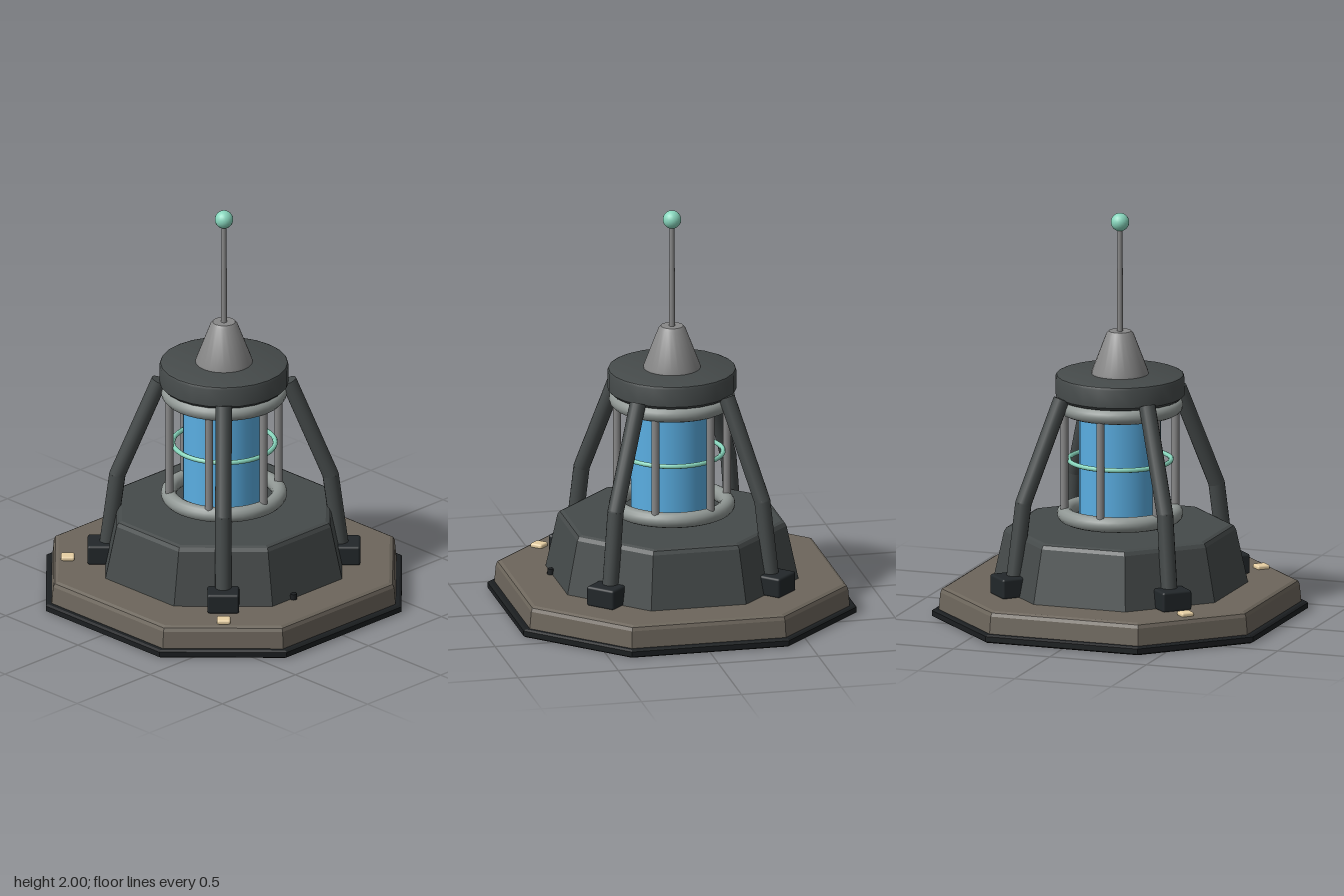
import * as THREE from 'three';
import { RoundedBoxGeometry } from 'three/addons/geometries/RoundedBoxGeometry.js';
import { toCreasedNormals } from 'three/addons/utils/BufferGeometryUtils.js';

const paint = (color) => new THREE.MeshStandardMaterial({ color });
const MAT = {
  rubber: paint(0x1b1e20), plinth: paint(0x6d665c), housing: paint(0x454a4a), foot: paint(0x22272a),
  glass: paint(0x5aaee2), ring: paint(0x8f9693), metal: paint(0x888888), teal: paint(0x88d6bd), lamp: paint(0xe8d0a4),
};

// Octagonal stack: each level is [y, half width, half length of the straight side]
function octagonStack(levels) {
  const rings = levels.map(([y, a, b]) =>
    [[a, b], [b, a], [-b, a], [-a, b], [-a, -b], [-b, -a], [b, -a], [a, -b]].map(([x, z]) => [x, y, z]));
  const pos = [];
  const tri = (...corners) => corners.forEach((c) => pos.push(...c));
  const last = rings.length - 1;
  for (let i = 0; i < 8; i++) {
    const j = (i + 1) % 8;
    for (let k = 0; k < last; k++) {
      const [lo, hi] = [rings[k], rings[k + 1]];
      tri(lo[i], hi[i], lo[j]);
      tri(lo[j], hi[i], hi[j]);
    }
    tri([0, levels[0][0], 0], rings[0][i], rings[0][j]);
    tri([0, levels[last][0], 0], rings[last][j], rings[last][i]);
  }
  const geo = new THREE.BufferGeometry();
  geo.setAttribute('position', new THREE.Float32BufferAttribute(pos, 3));
  geo.computeVertexNormals();
  return geo;
}

// Turned part with crisp edges from [radius, y] points
const turned = (points, sides) =>
  toCreasedNormals(new THREE.LatheGeometry(points.map((p) => new THREE.Vector2(...p)), sides), 0.5);

export function createModel() {
  const model = new THREE.Group();
  const add = (name, geometry, material, x = 0, y = 0, z = 0, parent = model) => {
    const mesh = new THREE.Mesh(geometry, material);
    mesh.name = name;
    mesh.position.set(x, y, z);
    parent.add(mesh);
    return mesh;
  };
  // Round bar between two points
  const bar = (name, from, to, radius, material, parent = model) => {
    const dir = to.clone().sub(from);
    const mesh = add(name, new THREE.CylinderGeometry(radius, radius, dir.length(), 16), material, 0, 0, 0, parent);
    mesh.position.copy(from).addScaledVector(dir, 0.5);
    mesh.quaternion.setFromUnitVectors(new THREE.Vector3(0, 1, 0), dir.normalize());
  };

  // Stepped octagonal base
  add('baseSkirt', octagonStack([[0, 0.82, 0.39], [0.007, 0.832, 0.393], [0.033, 0.832, 0.393], [0.04, 0.82, 0.39]]), MAT.rubber);
  add('basePlinth', octagonStack([[0.035, 0.8, 0.385], [0.125, 0.792, 0.382], [0.142, 0.785, 0.378], [0.15, 0.77, 0.37]]), MAT.plinth);
  add('housing', octagonStack([[0.145, 0.578, 0.238], [0.415, 0.523, 0.215], [0.433, 0.513, 0.21], [0.44, 0.497, 0.205]]), MAT.housing);
  add('cableStud', new THREE.CylinderGeometry(0.016, 0.018, 0.03, 10), MAT.rubber, 0.583, 0.163, 0.1);

  // Small lamps on the two front corners
  for (const s of [-1, 1]) {
    add('markerLamp', new RoundedBoxGeometry(0.066, 0.025, 0.066, 2, 0.01), MAT.lamp, s * 0.54, 0.157, 0.536).rotation.y = Math.PI / 4;
  }

  // Lantern with its cage
  add('lanternGlass', new THREE.CylinderGeometry(0.2, 0.2, 0.64, 32), MAT.glass, 0, 0.777);
  for (const y of [0.502, 1.042]) {
    add('cageRing', new THREE.TorusGeometry(0.27, 0.038, 14, 40), MAT.ring, 0, y).rotation.x = Math.PI / 2;
  }
  add('glowRing', new THREE.TorusGeometry(0.25, 0.012, 8, 40), MAT.teal, 0, 0.77).rotation.x = Math.PI / 2;
  for (let i = 0; i < 6; i++) {
    const a = (i * Math.PI) / 3;
    add('cageBar', new THREE.CylinderGeometry(0.02, 0.02, 0.54, 12), MAT.metal, 0.275 * Math.cos(a), 0.772, 0.275 * Math.sin(a));
  }

  // Cap, cone and mast
  add('cap', turned([[0, 1.08], [0.3, 1.08], [0.315, 1.095], [0.315, 1.183], [0.31, 1.195], [0.298, 1.2], [0, 1.2]], 24), MAT.housing);
  add('mastCone', turned([[0, 1.195], [0.14, 1.195], [0.138, 1.212], [0.067, 1.398], [0.055, 1.412], [0, 1.412]], 24), MAT.metal);
  add('mast', new THREE.CylinderGeometry(0.012, 0.016, 0.54, 12), MAT.metal, 0, 1.67);
  add('mastTip', new THREE.SphereGeometry(0.045, 20, 14), MAT.teal, 0, 1.955);

  // Four bent legs on the diagonals
  for (const sx of [-1, 1]) {
    for (const sz of [-1, 1]) {
      const leg = new THREE.Group();
      leg.name = 'leg';
      model.add(leg);
      const at = (d, y) => new THREE.Vector3(sx * d, y, sz * d);
      const knee = at(0.367, 0.6);
      bar('lowerLeg', at(0.405, 0.19), knee, 0.04, MAT.housing, leg);
      bar('upperLeg', knee, at(0.222, 1.1), 0.04, MAT.housing, leg);
      add('knee', new THREE.SphereGeometry(0.04, 16, 12), MAT.housing, knee.x, knee.y, knee.z, leg);
      add('foot', new RoundedBoxGeometry(0.155, 0.1, 0.155, 2, 0.012), MAT.foot, sx * 0.415, 0.197, sz * 0.415, leg)
        .rotation.y = Math.PI / 4;
    }
  }
  return model;
}
